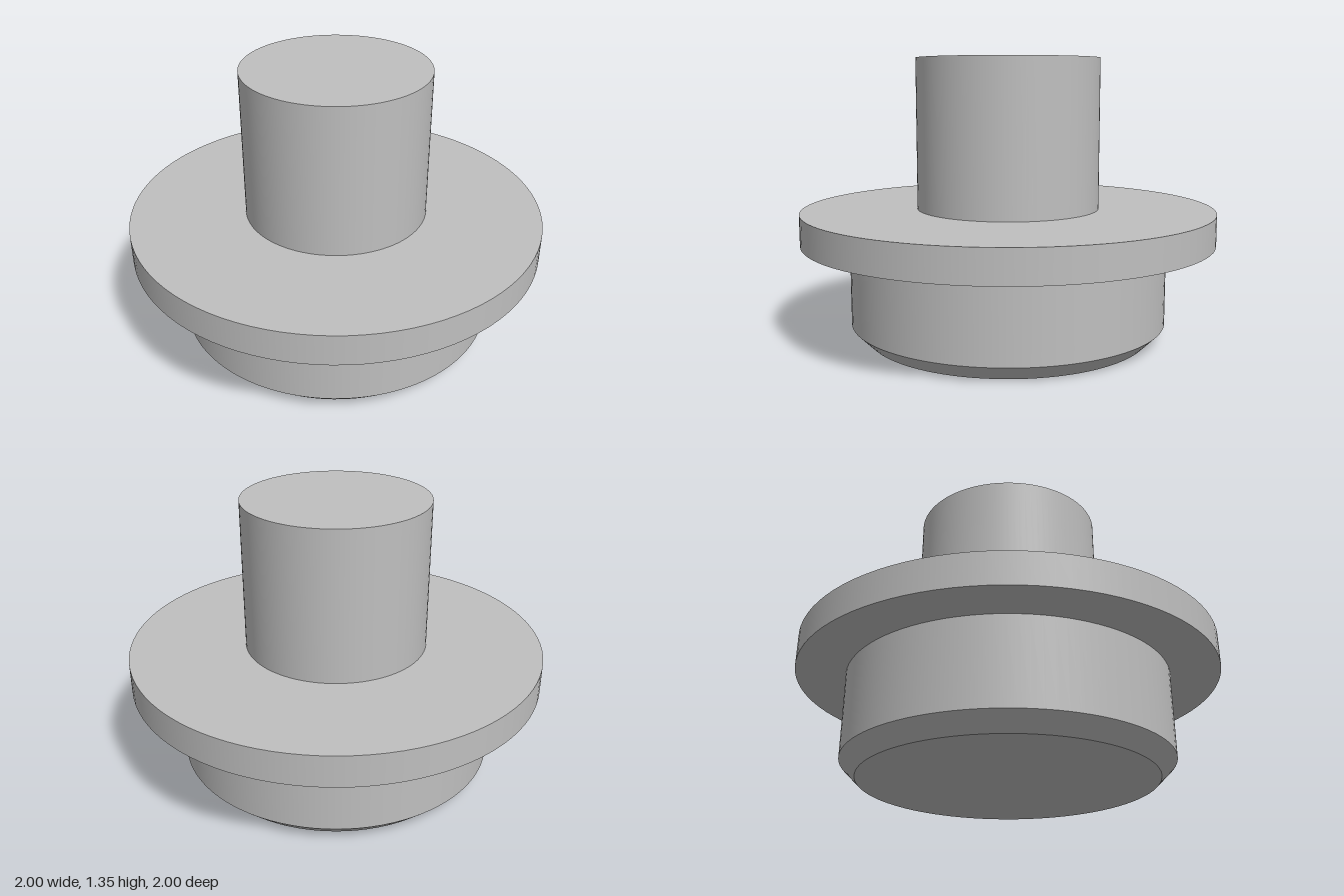
import * as THREE from 'three';

const SEGMENTS = 96;

// Turned part: each pair of neighbouring profile points [radius, y] is its own
// smooth band, so the edges between bands stay sharp.
function turnedPart(name, profile, material) {
  const part = new THREE.Group();
  part.name = name;
  for (let i = 0; i < profile.length - 1; i++) {
    const band = [profile[i], profile[i + 1]].map(([r, y]) => new THREE.Vector2(r, y));
    const mesh = new THREE.Mesh(new THREE.LatheGeometry(band, SEGMENTS), material);
    mesh.name = `${name}Surface${i + 1}`;
    part.add(mesh);
  }
  return part;
}

export function createModel() {
  const model = new THREE.Group();
  model.name = 'flangedPlug';

  const steel = new THREE.MeshStandardMaterial({ color: 0xbfbfbf });
  steel.name = 'grey steel';

  // Plug with chamfered lower edge
  model.add(turnedPart('plug', [[0, 0], [0.695, 0], [0.77, 0.075], [0.77, 0.475]], steel));
  // Wide flange: underside, rim and top
  model.add(turnedPart('flange', [[0.77, 0.475], [1, 0.475], [1, 0.625], [0.443, 0.625]], steel));
  // Upright shaft with flat end
  model.add(turnedPart('shaft', [[0.443, 0.625], [0.443, 1.35], [0, 1.35]], steel));

  return model;
}
